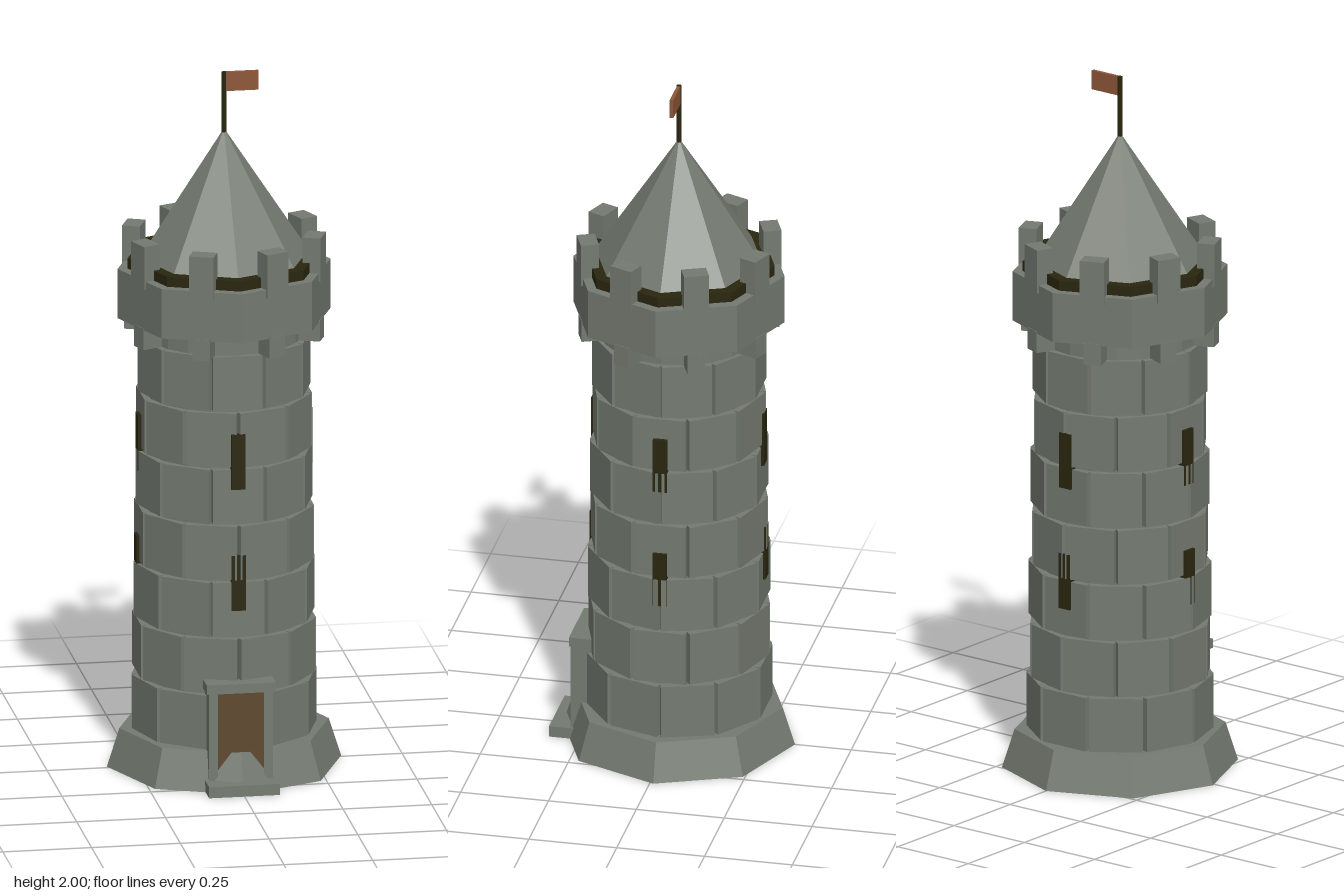
import * as THREE from 'three';

const paint = (name, color) => Object.assign(new THREE.MeshStandardMaterial({ color, flatShading: true }), { name });

export function createModel() {
  const stone = paint('stone grey', 0x747a71);
  const dark = paint('dark olive', 0x2a260f);
  const wood = paint('door brown', 0x5e482e);
  const cloth = paint('flag rust', 0x8f5739);

  const model = new THREE.Group();
  model.name = 'watchtower';
  const tower = new THREE.Group();
  tower.name = 'tower';
  tower.position.z = -0.01;
  model.add(tower);

  const add = (name, geometry, material, x = 0, y = 0, z = 0, parent = tower) => {
    const mesh = new THREE.Mesh(geometry, material);
    mesh.name = name;
    mesh.position.set(x, y, z);
    parent.add(mesh);
    return mesh;
  };
  // Upright prism or cone between two heights
  const drum = (name, rTop, rBottom, y0, y1, sides, material) =>
    add(name, new THREE.CylinderGeometry(rTop, rBottom, y1 - y0, sides), material, 0, (y0 + y1) / 2);
  // Box given by its limits
  const block = (name, material, x0, x1, y0, y1, z0, z1, parent = tower) =>
    add(name, new THREE.BoxGeometry(x1 - x0, y1 - y0, z1 - z0), material,
      (x0 + x1) / 2, (y0 + y1) / 2, (z0 + z1) / 2, parent);
  // Box facing outwards at an angle around the tower
  const radial = (name, material, angle, width, y0, y1, r0, r1) => {
    const r = (r0 + r1) / 2;
    const mesh = add(name, new THREE.BoxGeometry(width, y1 - y0, r1 - r0), material,
      r * Math.sin(angle), (y0 + y1) / 2, r * Math.cos(angle));
    mesh.rotation.y = angle;
  };

  // Footing and wall core
  drum('footing', 0.295, 0.33, 0, 0.11, 8, stone);
  drum('wallCore', 0.222, 0.238, 0.1, 1.31, 20, stone);

  // Staggered courses of ten stones
  const courses = 7, perCourse = 10, pitch = 0.163;
  for (let row = 0; row < courses; row++) {
    const r = 0.249 - row * 0.0027;
    const y = 0.11 + row * pitch;
    for (let i = 0; i < perCourse; i++) {
      const angle = ((i + (row % 2) / 2) / perCourse) * Math.PI * 2;
      radial('wallStone', stone, angle, r * 0.6, y, y + pitch - 0.008, r - 0.05, r);
    }
  }

  // Arrow slits on four sides at two levels
  for (let i = 0; i < 4; i++) {
    radial('lowerSlit', dark, i * Math.PI / 2, 0.04, 0.51, 0.67, 0.2, 0.25);
    radial('upperSlit', dark, i * Math.PI / 2, 0.04, 0.86, 1.02, 0.2, 0.246);
  }

  // Parapet, walkway, corbels and merlons
  drum('parapet', 0.3, 0.3, 1.3, 1.443, 8, stone);
  drum('walkway', 0.272, 0.272, 1.4, 1.472, 8, dark);
  for (let i = 0; i < 8; i++) {
    const angle = (i + 0.5) * Math.PI / 4;
    radial('corbel', stone, angle, 0.05, 1.243, 1.305, 0.2, 0.279);
    radial('merlon', stone, angle, 0.07, 1.42, 1.545, 0.232, 0.283);
  }

  // Roof, pole and flag
  const roof = add('roof', new THREE.ConeGeometry(0.24, 0.367, 8), stone, 0, 1.6535);
  roof.name = 'roof';
  drum('flagPole', 0.007, 0.007, 1.82, 2, 8, dark);
  block('flag', cloth, 0.005, 0.097, 1.945, 2, -0.005, 0.005);

  // Doorway
  const doorway = new THREE.Group();
  doorway.name = 'doorway';
  model.add(doorway);
  block('door', wood, -0.068, 0.068, 0.03, 0.287, 0.2, 0.274, doorway);
  for (const s of [-1, 1]) {
    block('doorJamb', stone, s * 0.0775 - 0.0125, s * 0.0775 + 0.0125, 0.03, 0.285, 0.2, 0.279, doorway);
  }
  block('lintel', stone, -0.097, 0.097, 0.283, 0.31, 0.2, 0.282, doorway);
  block('doorStep', stone, -0.1, 0.1, 0, 0.032, 0.24, 0.338, doorway);

  return model;
}
